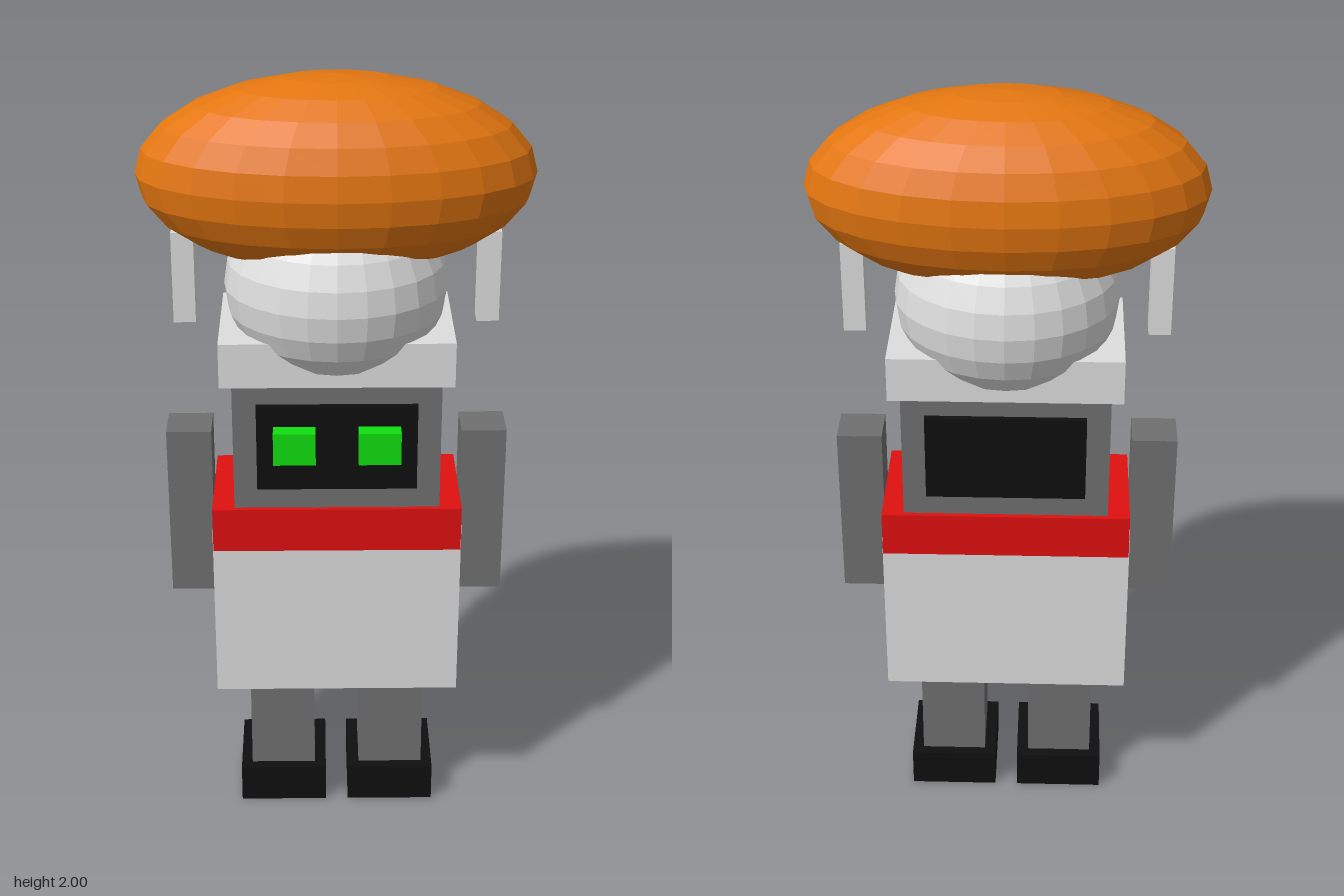
import * as THREE from 'three';

const mat = (name, color, flat = false) => {
  const m = new THREE.MeshStandardMaterial({ color, flatShading: flat });
  m.name = name;
  return m;
};

export function createModel() {
  const model = new THREE.Group();
  model.name = 'robot';

  const orange = mat('orange', 0xe37610, true);
  const light = mat('lightGrey', 0xdedede, true);
  const grey = mat('darkGrey', 0x707070, true);
  const black = mat('black', 0x0f0f0f, true);
  const red = mat('red', 0xe01010, true);
  const green = mat('green', 0x10e010, true);

  // Box spanning x0..x1, y0..y1, z0..z1
  const box = (name, material, [x0, x1], [y0, y1], [z0, z1]) => {
    const mesh = new THREE.Mesh(new THREE.BoxGeometry(x1 - x0, y1 - y0, z1 - z0), material);
    mesh.position.set((x0 + x1) / 2, (y0 + y1) / 2, (z0 + z1) / 2);
    mesh.name = name;
    model.add(mesh);
  };
  const sym = (h) => [-h, h];

  // Box mirrored to both sides
  const pair = (name, material, [x0, x1], y, z) => {
    box('left' + name, material, [x0, x1], y, z);
    box('right' + name, material, [-x1, -x0], y, z);
  };

  // Faceted ellipsoid
  const ellipsoid = (name, material, y, rx, ry, rz) => {
    const geometry = new THREE.SphereGeometry(1, 24, 12).scale(rx, ry, rz);
    const mesh = new THREE.Mesh(geometry, material);
    mesh.position.y = y;
    mesh.name = name;
    model.add(mesh);
  };

  // Feet and legs
  pair('Foot', black, [0.03, 0.26], [0, 0.105], sym(0.115));
  pair('Leg', grey, [0.06, 0.231], [0.105, 0.38], sym(0.087));

  // Torso, belt and arms
  box('torso', light, sym(0.317), [0.38, 0.868], sym(0.143));
  box('belt', red, sym(0.315), [0.808, 0.926], sym(0.156));
  pair('Arm', grey, [0.317, 0.431], [0.64, 1.098], sym(0.057));

  // Head with a dark panel front and back, and eyes on the front
  box('head', grey, sym(0.259), [0.926, 1.27], sym(0.143));
  box('facePanel', black, sym(0.2), [0.985, 1.213], [0.143, 0.157]);
  box('backPanel', black, sym(0.2), [0.985, 1.213], [-0.157, -0.143]);
  pair('Eye', green, [0.053, 0.158], [1.073, 1.158], [0.157, 0.2]);

  // Brim, dome, side posts and large cap
  box('brim', light, sym(0.288), [1.27, 1.385], sym(0.172));
  ellipsoid('dome', light, 1.48, 0.276, 0.245, 0.252);
  pair('Post', light, [0.347, 0.402], [1.385, 1.617], sym(0.028));
  ellipsoid('cap', orange, 1.76, 0.483, 0.24, 0.242);

  return model;
}
